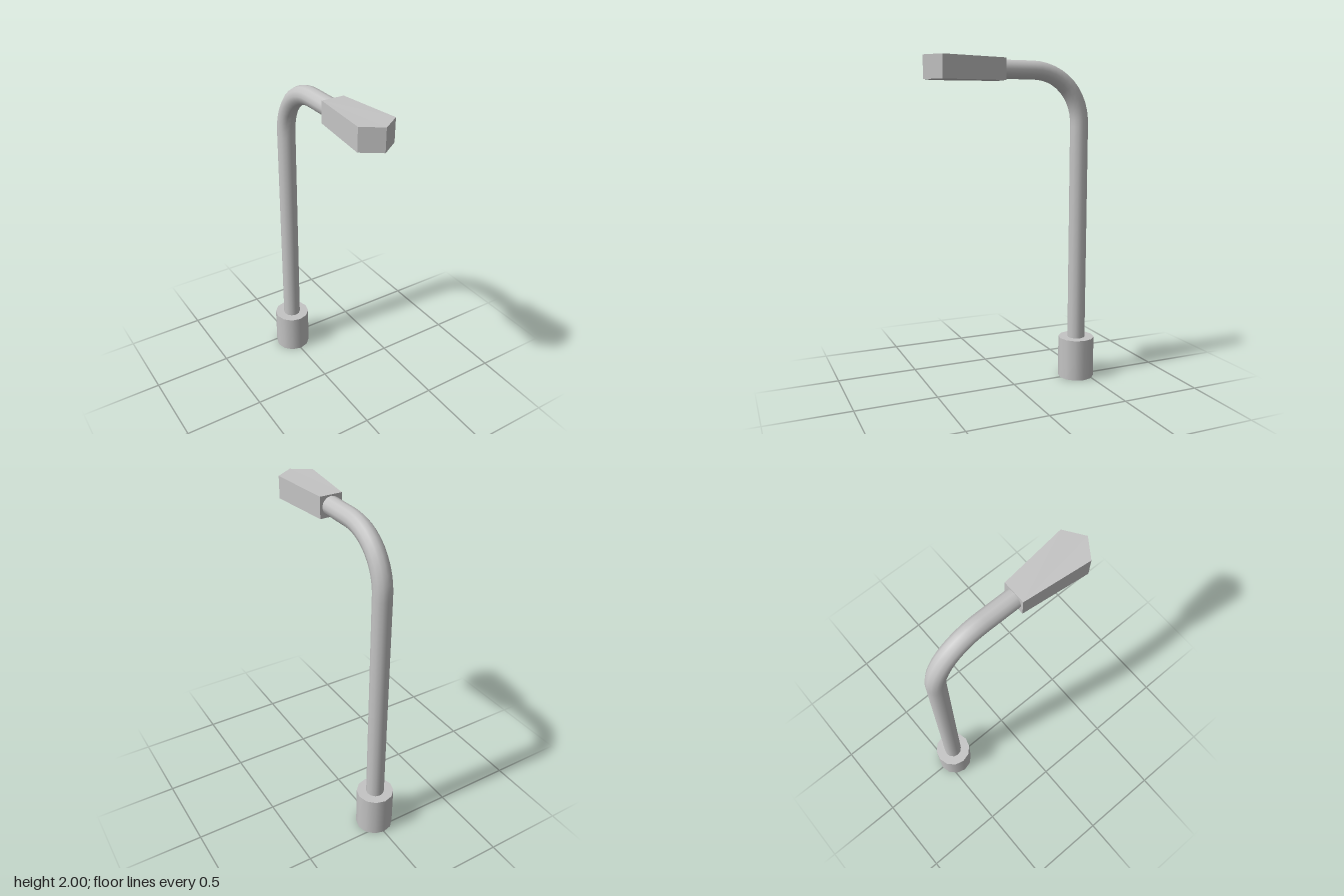
import * as THREE from 'three';

const POLE_Z = -0.435, POLE_R = 0.055, ARM_Y = 1.931, BEND = 0.315;

export function createModel() {
  const group = new THREE.Group();
  const grey = new THREE.MeshStandardMaterial({ color: 0xc4c4c4, side: THREE.DoubleSide });
  grey.name = 'grey metal';

  const add = (name, geometry) => {
    const mesh = new THREE.Mesh(geometry, grey);
    mesh.name = name;
    group.add(mesh);
    return mesh;
  };

  // Base: twelve-sided sleeve, open underneath, with a flat lid
  const sleeve = add('baseSleeve', new THREE.CylinderGeometry(0.113, 0.113, 0.26, 12, 1, true));
  sleeve.position.set(0, 0.13, POLE_Z);
  const lid = add('baseLid', new THREE.CircleGeometry(0.113, 12).rotateX(-Math.PI / 2));
  lid.position.set(0, 0.26, POLE_Z);

  // Pole: straight shaft, quarter bend and forward arm as one tube
  const bendY = ARM_Y - BEND, bendZ = POLE_Z + BEND, k = BEND * 0.57;
  const path = new THREE.CurvePath();
  const p = (y, z) => new THREE.Vector3(0, y, z);
  path.add(new THREE.LineCurve3(p(0.255, POLE_Z), p(bendY, POLE_Z)));
  path.add(new THREE.CubicBezierCurve3(
    p(bendY, POLE_Z), p(bendY + k, POLE_Z), p(ARM_Y, bendZ - k), p(ARM_Y, bendZ)));
  path.add(new THREE.LineCurve3(p(ARM_Y, bendZ), p(ARM_Y, 0.1)));
  add('pole', new THREE.TubeGeometry(path, 48, POLE_R, 12, false));

  // Lamp head: flat wedge that widens forward to a blunt point
  const outline = new THREE.Shape([
    [-0.068, 0.078], [0.068, 0.078], [0.112, 0.472], [0, 0.55], [-0.112, 0.472],
  ].map(([x, z]) => new THREE.Vector2(x, z)));
  const head = new THREE.ExtrudeGeometry(outline, { depth: 0.133, bevelEnabled: false });
  head.rotateX(Math.PI / 2).translate(0, 2, 0);
  // The top dips slightly toward the arm
  const pos = head.attributes.position;
  for (let i = 0; i < pos.count; i++) {
    if (pos.getY(i) > 1.95 && pos.getZ(i) < 0.1) pos.setY(i, 1.993);
  }
  head.computeVertexNormals();
  add('lampHead', head);

  return group;
}
